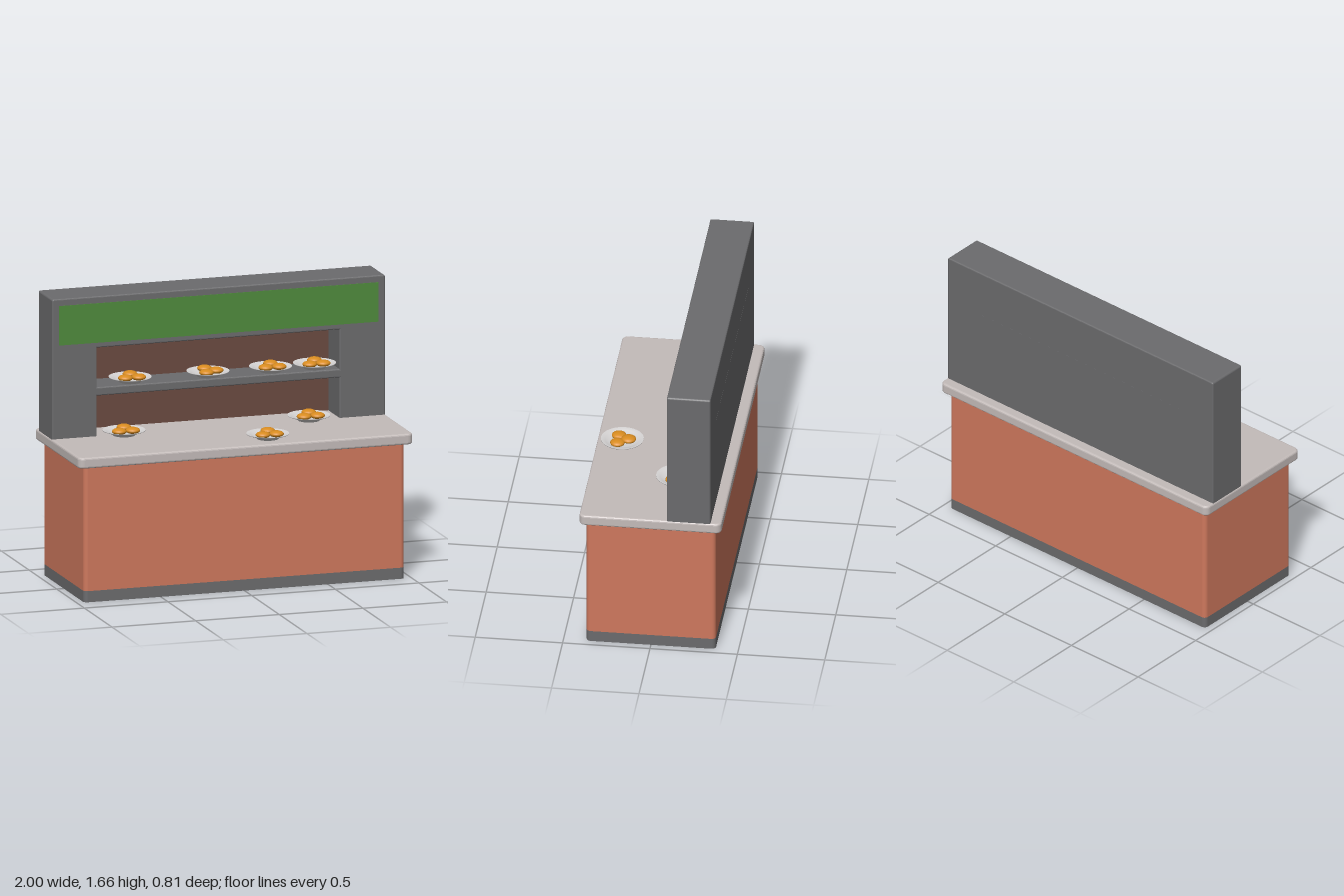
import * as THREE from 'three';

const mat = (name, color, side = THREE.FrontSide) => {
  const m = new THREE.MeshStandardMaterial({ color, side });
  m.name = name;
  return m;
};

// Rounded rectangle, counter-clockwise, centred on (cx, cy)
function roundedRect(w, h, r, cx = 0, cy = 0) {
  const a = w / 2 - r, b = h / 2 - r, s = new THREE.Shape();
  s.absarc(cx + a, cy - b, r, -Math.PI / 2, 0);
  s.absarc(cx + a, cy + b, r, 0, Math.PI / 2);
  s.absarc(cx - a, cy + b, r, Math.PI / 2, Math.PI);
  s.absarc(cx - a, cy - b, r, Math.PI, Math.PI * 1.5);
  s.closePath();
  return s;
}

// Slab with softened edges, centred on its depth
function slab(shape, depth, bevel) {
  return new THREE.ExtrudeGeometry(shape, {
    depth: depth - 2 * bevel, bevelEnabled: true, bevelThickness: bevel,
    bevelSize: bevel, bevelOffset: -bevel, bevelSegments: 3, curveSegments: 6,
  }).translate(0, 0, bevel - depth / 2);
}

// Open upright wall following a rounded rectangle
function wallRing(w, d, r, y0, y1) {
  const pts = roundedRect(w, d, r).getPoints(6);
  if (!pts[0].equals(pts[pts.length - 1])) pts.push(pts[0].clone());
  const n = pts.length, g = new THREE.PlaneGeometry(1, 1, n - 1, 1);
  const a = w / 2 - r, b = d / 2 - r;
  for (let i = 0; i < 2 * n; i++) {
    const p = pts[i % n];
    const nx = p.x - THREE.MathUtils.clamp(p.x, -a, a);
    const ny = p.y - THREE.MathUtils.clamp(p.y, -b, b);
    const l = Math.hypot(nx, ny) || 1;
    g.attributes.position.setXYZ(i, p.x, i < n ? y1 : y0, -p.y);
    g.attributes.normal.setXYZ(i, nx / l, 0, -ny / l);
  }
  return g;
}

export function createModel() {
  const root = new THREE.Group();
  root.name = 'foodCounter';
  const grey = mat('darkGrey', 0x6b6b6d);
  const kickGrey = mat('kickGrey', 0x6b6b6d, THREE.DoubleSide);
  const orange = mat('terracotta', 0xce785d, THREE.DoubleSide);
  const stone = mat('paleStone', 0xc3bbb9);
  const green = mat('signGreen', 0x4f8a3c);
  const brown = mat('backBrown', 0x6a4a40);
  const china = mat('plateWhite', 0xd6d4d4);
  const food = mat('bunOrange', 0xd98c20);

  const add = (parent, name, geo, material, x = 0, y = 0, z = 0) => {
    const m = new THREE.Mesh(geo, material);
    m.name = name;
    m.position.set(x, y, z);
    parent.add(m);
    return m;
  };

  // Hollow base, open underneath
  add(root, 'kickBand', wallRing(1.916, 0.74, 0.025, 0, 0.065), kickGrey);
  add(root, 'basePanels', wallRing(1.916, 0.74, 0.025, 0.065, 0.8), orange);

  // Worktop
  add(root, 'worktop', slab(roundedRect(2, 0.814, 0.035), 0.063, 0.012).rotateX(-Math.PI / 2),
    stone, 0, 0.8185, 0);

  // Display unit with two openings; its foot sinks into the worktop
  const front = -0.095, back = -0.345;
  const frame = roundedRect(1.99, 0.865, 0.012, 0, 1.2325);
  for (const [y0, y1] of [[0.835, 1.085], [1.135, 1.365]])
    frame.holes.push(new THREE.Path([
      new THREE.Vector2(-0.727, y0), new THREE.Vector2(-0.727, y1),
      new THREE.Vector2(0.722, y1), new THREE.Vector2(0.722, y0),
    ]));
  add(root, 'displayFrame', slab(frame, front - back, 0.008), grey, 0, 0, (front + back) / 2);
  add(root, 'displayBack', new THREE.BoxGeometry(1.48, 0.55, 0.04), grey, 0, 1.11, back + 0.0195);
  for (const [y0, y1] of [[0.84, 1.085], [1.135, 1.365]])
    add(root, 'nichePanel', new THREE.BoxGeometry(1.449, y1 - y0, 0.006), brown,
      -0.0025, (y0 + y1) / 2, -0.302);
  add(root, 'signPanel', new THREE.BoxGeometry(1.91, 0.23, 0.006), green, 0, 1.51, front);

  // Plates, each with three flattened buns
  const plateGeo = new THREE.LatheGeometry([
    [0, 0], [0.062, 0], [0.068, 0.008], [0.122, 0.028], [0.122, 0.032],
    [0.098, 0.026], [0.068, 0.013], [0, 0.012],
  ].map(([x, y]) => new THREE.Vector2(x, y)), 32);
  const bunGeo = new THREE.SphereGeometry(0.042, 20, 14).scale(1, 0.45, 1);
  const buns = [[-0.036, 0.029, 0.023], [0.045, 0.029, 0.022], [0.012, 0.037, -0.038]];
  const shelf = 1.135, top = 0.85;
  const plates = [
    [-0.505, shelf, -0.17, 0], [-0.04, shelf, -0.17, 0.5],
    [0.334, shelf, -0.17, 0], [0.597, shelf, -0.17, 0],
    [-0.573, top, -0.075, 0], [0.54, top, -0.1, 0], [0.175, top, 0.262, 0],
  ];
  for (const [x, y, z, turn] of plates) {
    const dish = new THREE.Group();
    dish.name = 'servedPlate';
    dish.position.set(x, y, z);
    dish.rotation.y = turn;
    add(dish, 'plate', plateGeo, china);
    for (const b of buns) add(dish, 'bun', bunGeo, food, ...b);
    root.add(dish);
  }
  return root;
}
